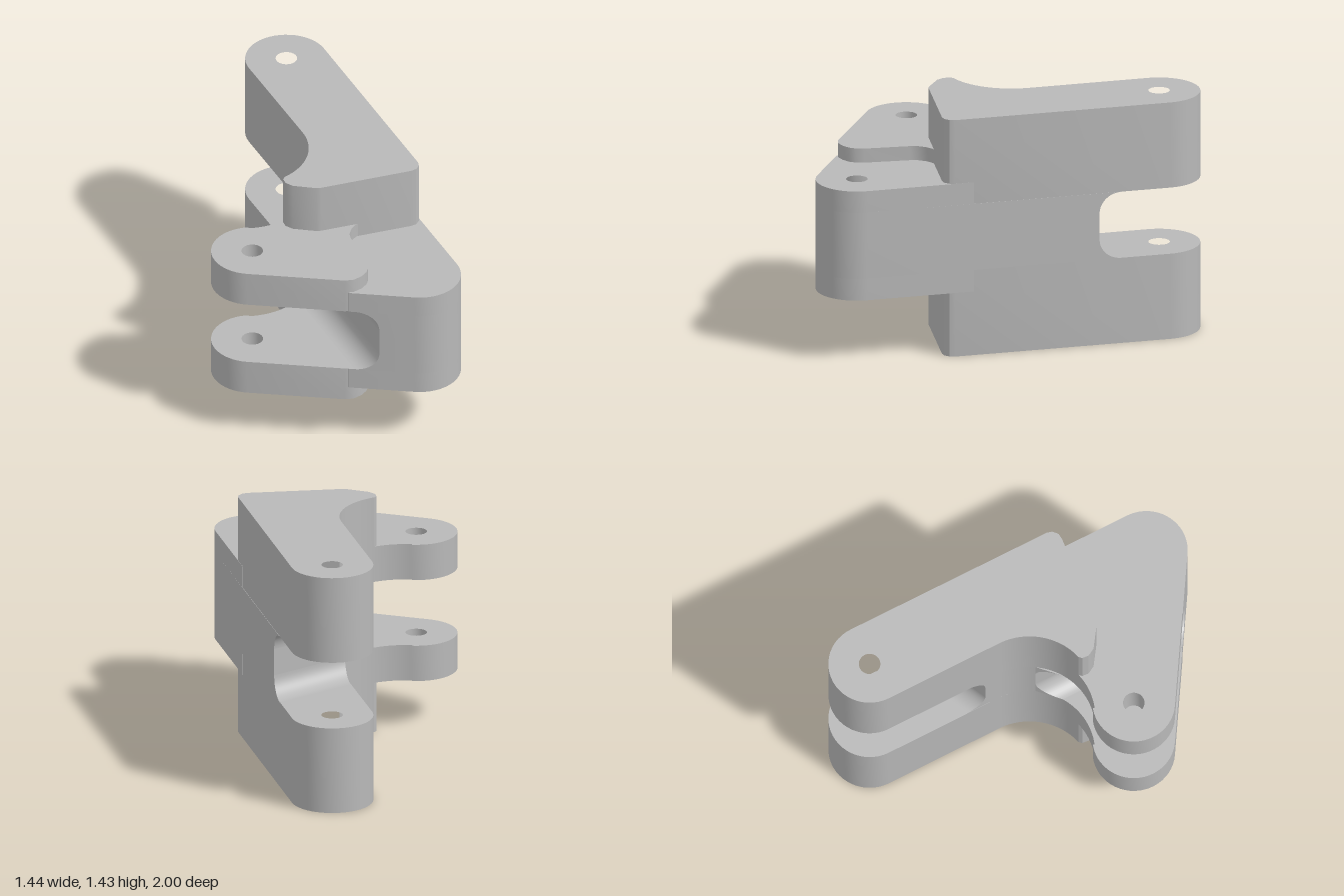
import * as THREE from 'three';
import { toCreasedNormals } from 'three/addons/utils/BufferGeometryUtils.js';

const R = 0.2375;        // rounded end radius
const MID = 0.715;       // mirror height
const GAP = 0.2;         // half height of both slots
const TILT = -0.555;     // direction of the arm's side normal
const ARM = [-0.47, -0.7625], LEFT = [0.485, 0.7625], RIGHT = [-0.485, 0.7625];

// Plan points [x, z] along an arc
function arc([cx, cz], r, a0, a1, n = 24) {
  return Array.from({ length: n + 1 }, (_, i) => {
    const a = a0 + (a1 - a0) * i / n;
    return [cx + r * Math.cos(a), cz + r * Math.sin(a)];
  });
}
const crook = (a0, a1) => arc([-0.61, 0.17], 0.378, a0, a1);

// Upright prism from a plan outline, with an optional pin hole
function prism(plan, y0, y1, hole) {
  const toShape = (p) => p.map(([x, z]) => new THREE.Vector2(x, -z));
  const shape = new THREE.Shape(toShape(plan));
  if (hole) shape.holes.push(new THREE.Path(toShape(arc(hole, 0.062, 0, Math.PI * 2, 32).slice(0, -1))));
  const g = new THREE.ExtrudeGeometry(shape, { depth: y1 - y0, bevelEnabled: false });
  g.rotateX(-Math.PI / 2).translate(0, y0, 0);
  return toCreasedNormals(g, 0.5);
}

// Concave fillet along a slot wall from a to b; da and db give the slanted ends
function fillet(a, b, da, db, side) {
  const r = 0.12;
  const pts = [[0, 0], ...arc([r, r], r, -Math.PI / 2, -Math.PI, 12)];
  const shape = new THREE.Shape(pts.map(([n, y]) => new THREE.Vector2(n, MID + side * (y - GAP))));
  const g = new THREE.ExtrudeGeometry(shape, { depth: 1, bevelEnabled: false });
  const p = g.attributes.position;
  for (let i = 0; i < p.count; i++) {
    const n = p.getX(i), t = p.getZ(i);
    const at = (k) => THREE.MathUtils.lerp(a[k] + n * da[k], b[k] + n * db[k], t);
    p.setXYZ(i, at(0), p.getY(i), at(1));
  }
  g.computeVertexNormals();
  return toCreasedNormals(g, 0.5);
}

export function createModel() {
  const model = new THREE.Group();
  const metal = new THREE.MeshStandardMaterial({ color: 0xb8b8b8 });
  metal.name = 'plain grey';
  const add = (name, geometry) => {
    const mesh = new THREE.Mesh(geometry, metal);
    mesh.name = name;
    model.add(mesh);
  };

  // Long arm with a rounded end and a stepped front edge
  const armPlan = [
    ...arc(ARM, R, TILT + Math.PI, TILT + 2 * Math.PI),
    [0.408, 0.195], [0.416, 0.225], [0.405, 0.262], [0.375, 0.285],
    [-0.115, 0.515], [-0.14, 0.522], [-0.28, 0.515], [-0.325, 0.49], [-0.343, 0.455],
    ...crook(0.767, TILT),
  ];
  // Thin lug reaching to the model's right
  const lugPlan = [
    ...crook(0.767, 1.363),
    ...arc(RIGHT, R, 1.363 + Math.PI, Math.PI / 2),
    [0.08, 1], [0.13, 0.985], [0.17, 0.945], [0.193, 0.9], [0.197, 0.86], [0.185, 0.81],
    [0.065, 0.575], [0.05, 0.53], [0.055, 0.475], [0.075, 0.43], [0.11, 0.4],
  ];
  // Boss at the model's left
  const bossPlan = [
    [0.35, 0.1], ...arc(LEFT, R, TILT, Math.PI / 2), [0.1, 1], [0, 0.6], [0, 0.4],
  ];
  // Web between the two slots
  const slotOuter = [-0.046, -0.535], slotInner = [-0.335, -0.105];
  const pocketFront = [0.28, 1], pocketBack = [-0.232, 0.177];
  const corePlan = [
    slotOuter, ...arc(LEFT, R, TILT, Math.PI / 2), pocketFront,
    ...crook(0.02, TILT), slotInner,
  ];

  add('centreWeb', prism(corePlan, MID - GAP, MID + GAP, LEFT));
  for (const side of [-1, 1]) {
    const level = side < 0 ? 'lower' : 'upper';
    const layer = (plan, reach, hole) => {
      const ys = [MID + side * GAP, MID + side * reach];
      return prism(plan, Math.min(...ys), Math.max(...ys), hole);
    };
    add(level + 'Arm', layer(armPlan, MID, ARM));
    add(level + 'Lug', layer(lugPlan, 0.415, RIGHT));
    add(level + 'Boss', layer(bossPlan, 0.33, LEFT));
    // Profile is drawn from the floor up, mirrored for the ceiling
    add(level + 'PocketFillet', fillet(pocketFront, pocketBack, [-1.18, 0], [-0.33, 1.34], -side));
    add(level + 'SlotFillet', fillet(slotInner, slotOuter, [-0.58, -0.93], [-0.58, -0.93], -side));
  }
  return model;
}
